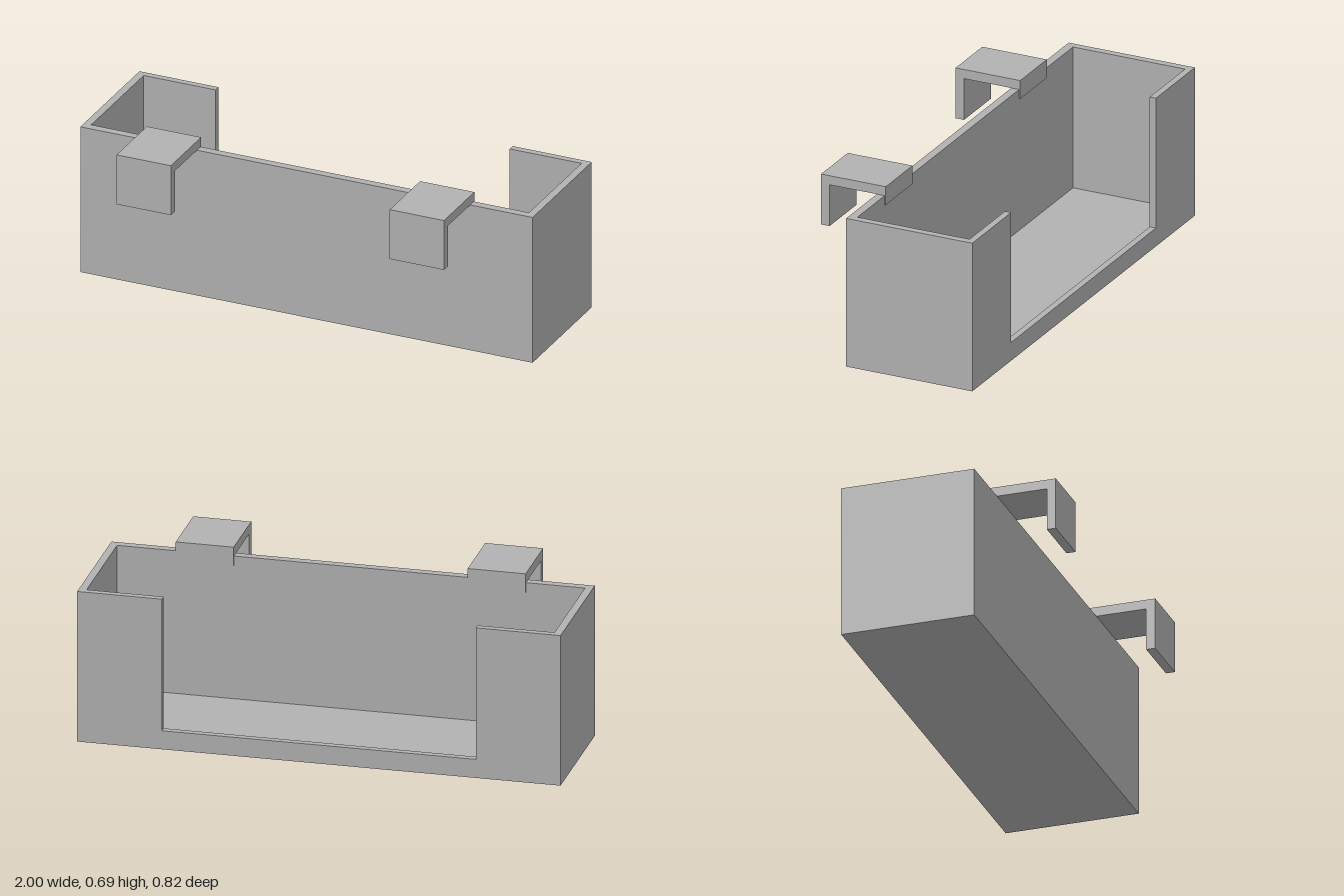
import * as THREE from 'three';

export function createModel() {
  const model = new THREE.Group();
  const grey = new THREE.MeshStandardMaterial({ color: 0xb2b2b2 });
  grey.name = 'plain grey';

  const add = (name, geometry) => {
    const mesh = new THREE.Mesh(geometry, grey);
    mesh.name = name;
    model.add(mesh);
    return mesh;
  };
  // Box given by its limits on each axis
  const block = (name, [x0, x1], [y0, y1], [z0, z1]) =>
    add(name, new THREE.BoxGeometry(x1 - x0, y1 - y0, z1 - z0))
      .position.set((x0 + x1) / 2, (y0 + y1) / 2, (z0 + z1) / 2);
  const outline = (points) => new THREE.Shape(points.map(([x, y]) => new THREE.Vector2(x, y)));
  const extrude = (points, depth) =>
    new THREE.ExtrudeGeometry(outline(points), { depth, bevelEnabled: false });

  const height = 0.647, wall = 0.032, back = -0.408, front = 0.158;
  const innerBack = back + 0.028, innerFront = front - 0.035;

  // Open-topped tray
  block('floor', [-1 + wall, 1 - wall], [0, wall], [innerBack, innerFront]);
  block('frontWall', [-1, 1], [0, height], [innerFront, front]);
  block('leftWall', [1 - wall, 1], [0, height], [innerBack, innerFront]);
  block('rightWall', [-1, -1 + wall], [0, height], [innerBack, innerFront]);

  // Back wall with a wide opening above a low lip
  const gap = 0.65, lip = 0.08;
  add('backWall', extrude([
    [-1, 0], [1, 0], [1, height], [gap, height], [gap, lip],
    [-gap, lip], [-gap, height], [-1, height],
  ], innerBack - back)).position.z = back;

  // Hanging hooks: profile in (z, y), extruded across x
  const hookWidth = 0.24, top = 0.687;
  const profile = [
    [0.118, 0.607], [0.15, 0.607], [0.15, height], [0.37, height],
    [0.37, 0.467], [0.408, 0.467], [0.408, top], [0.118, top],
  ];
  for (const [name, x] of [['leftHook', 0.604], ['rightHook', -0.604]]) {
    const hook = add(name, extrude(profile, hookWidth));
    hook.rotation.y = -Math.PI / 2;
    hook.position.x = x + hookWidth / 2;
  }
  return model;
}
